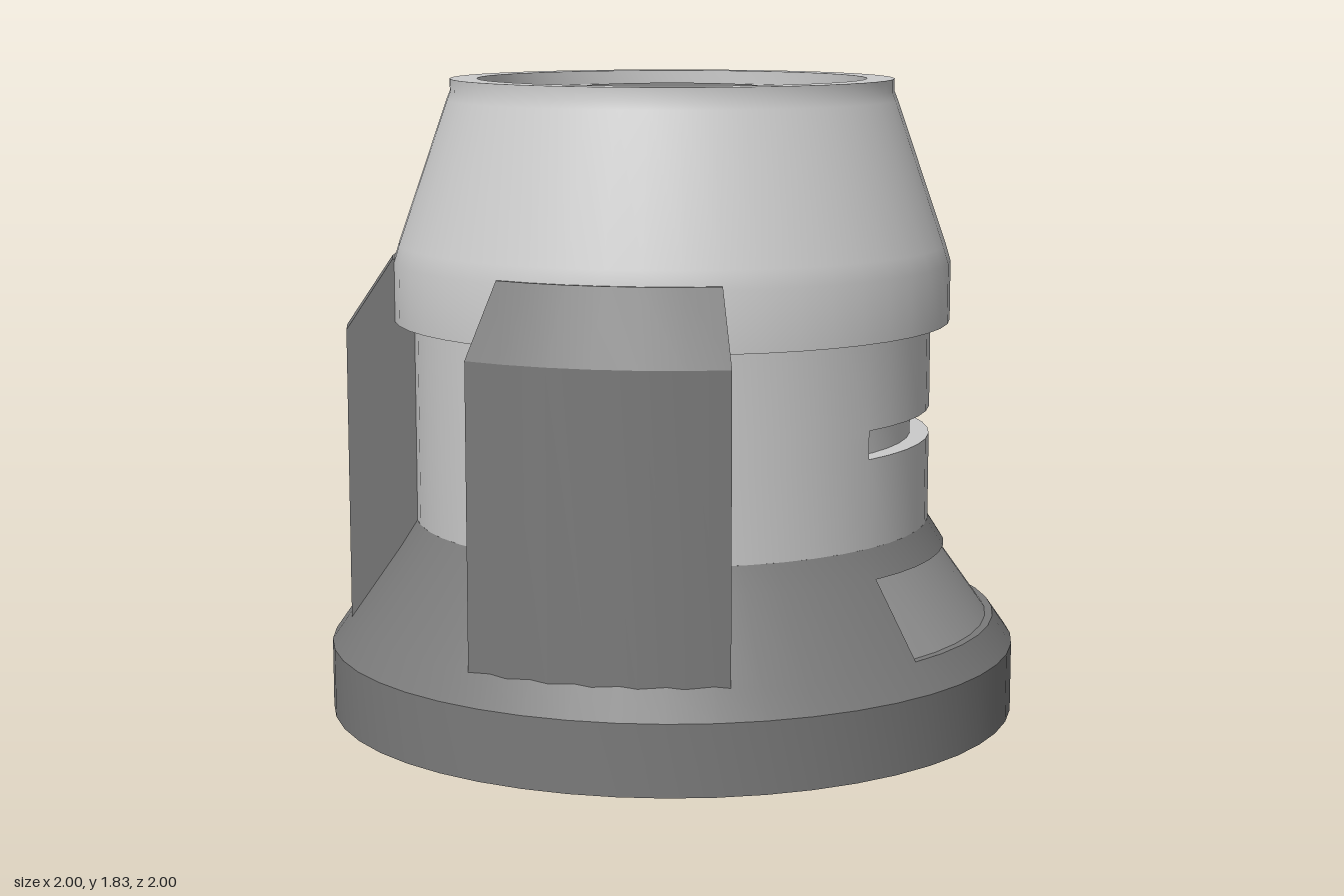
import * as THREE from 'three';
import { mergeGeometries, toCreasedNormals } from 'three/addons/utils/BufferGeometryUtils.js';

const light = new THREE.MeshStandardMaterial({ color: 0xcccccc });
const dark = new THREE.MeshStandardMaterial({ color: 0x7a7a7a });
const mid = new THREE.MeshStandardMaterial({ color: 0x969696 });

// Revolves a [radius, height] profile between two angles (0 = +z, 90 = +x).
function sweep(profile, from = 0, to = 360) {
  const points = profile.map(([r, y]) => new THREE.Vector2(r, y));
  const segments = Math.max(4, Math.round((to - from) / 7.5));
  const rad = THREE.MathUtils.degToRad;
  return new THREE.LatheGeometry(points, segments, rad(from), rad(to - from));
}

// Flat end wall with the shape of a closed profile, standing at one angle.
function endWall(profile, angle, flip) {
  const shape = new THREE.Shape(profile.map(([r, y]) => new THREE.Vector2(r, y)));
  const wall = new THREE.ShapeGeometry(shape);
  wall.rotateY(THREE.MathUtils.degToRad(angle - 90));
  if (flip) wall.index.array.reverse();
  return wall;
}

// Revolved wedge, closed at both ends.
function wedge(profile, from, to) {
  return [
    sweep([...profile, profile[0]], from, to),
    endWall(profile, from, false),
    endWall(profile, to, true),
  ];
}

function part(name, material, ...geometries) {
  const geometry = toCreasedNormals(mergeGeometries(geometries), 0.5);
  const mesh = new THREE.Mesh(geometry, material);
  mesh.name = name;
  return mesh;
}

export function createModel() {
  const model = new THREE.Group();
  model.name = 'canister';

  // Flared base, cut by a shallow window on the +x side
  const windowFrom = 57.5, windowTo = 122.5;
  const baseProfile = [[0, 0], [1, 0], [1, 0.2], [0.944, 0.28], [0.798, 0.485], [0.75, 0.56], [0, 0.56]];
  model.add(part('base', dark,
    ...wedge(baseProfile, windowTo, windowFrom + 360),
    sweep([[0, 0], [1, 0], [1, 0.2], [0.944, 0.28], [0.922, 0.28]], windowFrom, windowTo),
    sweep([[0.776, 0.485], [0.798, 0.485], [0.75, 0.56], [0, 0.56]], windowFrom, windowTo)));
  model.add(part('baseWindow', mid,
    sweep([[0.922, 0.28], [0.776, 0.485]], windowFrom, windowTo)));

  // Cylindrical body with a narrow slot above the window
  const slotFrom = 59, slotTo = 118;
  model.add(part('body', light,
    ...wedge([[0.6, 0.56], [0.75, 0.56], [0.75, 0.81], [0.75, 0.89], [0.75, 1.14], [0.6, 1.14]],
      slotTo, slotFrom + 360),
    sweep([[0.75, 0.56], [0.75, 0.81], [0.695, 0.81], [0.695, 0.89], [0.75, 0.89], [0.75, 1.14]],
      slotFrom, slotTo)));

  // Tapered head with a raised rim around a sunken lid
  model.add(part('head', light, sweep([
    [0.7, 1.14], [0.805, 1.14], [0.805, 1.31], [0.79, 1.36], [0.648, 1.77],
    [0.638, 1.795], [0.638, 1.83], [0.56, 1.83], [0.56, 1.79],
  ])));
  model.add(part('lid', light, sweep([[0.56, 1.79], [0, 1.79]])));
  model.add(part('lidButton', dark, sweep([[0.26, 1.79], [0.26, 1.805], [0, 1.805]])));

  // Three upright braces: front, back and right
  const braceProfile = [[0.65, 0.25], [0.944, 0.25], [0.944, 1.12], [0.81, 1.32], [0.65, 1.32]];
  for (const [name, angle] of [['frontBrace', 0], ['backBrace', 180], ['rightBrace', 270]]) {
    model.add(part(name, dark, ...wedge(braceProfile, angle - 22.4, angle + 22.4)));
  }
  return model;
}
